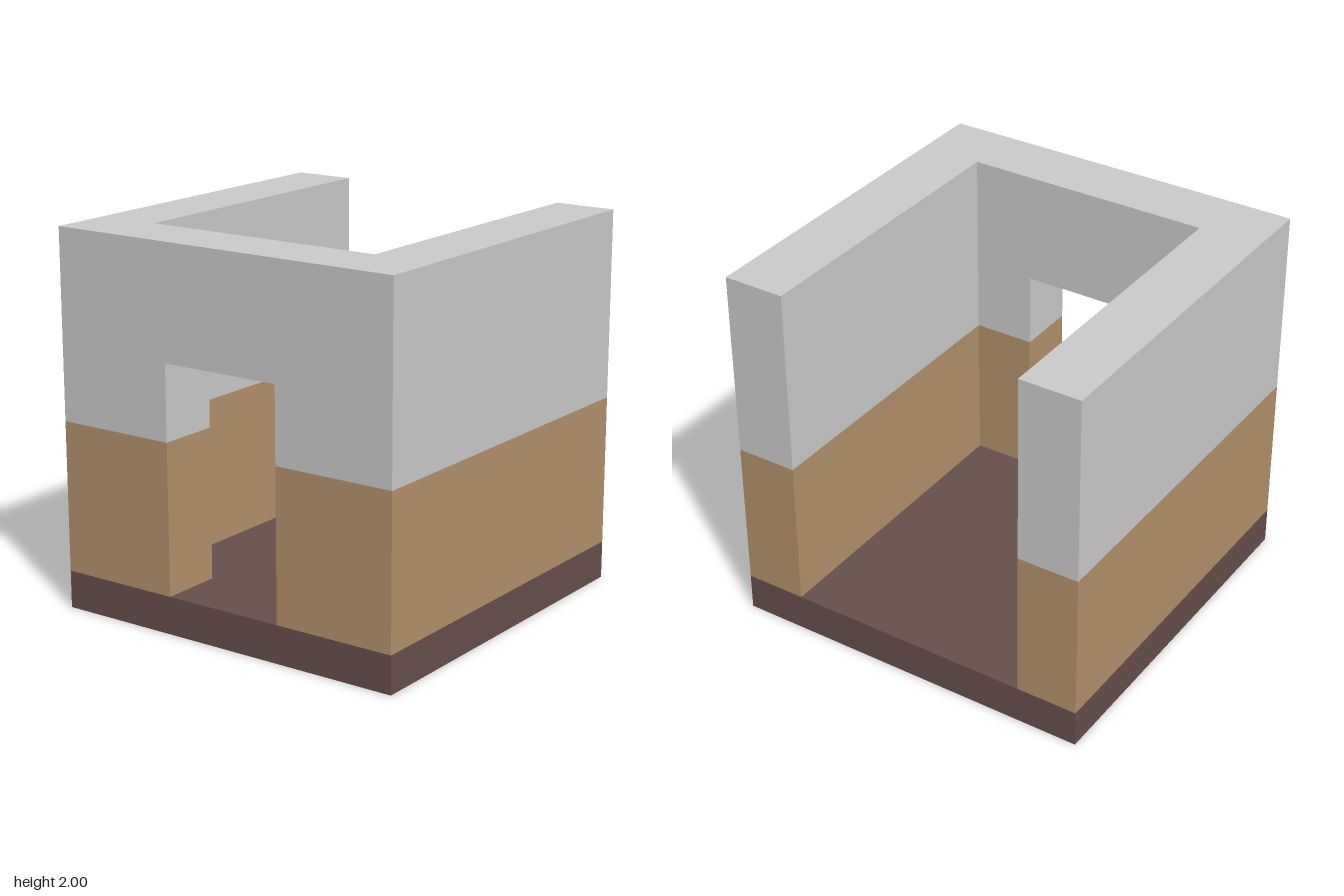
import * as THREE from 'three';

const T = 1 / 3;            // wall thickness, also half the doorway width
const FLOOR = 0.2, BAND = 1, DOOR = 1.4, TOP = 2;

export function createModel() {
  const model = new THREE.Group();
  const material = (color) => new THREE.MeshStandardMaterial({ color, flatShading: true });
  const floorMat = material(0x67504b);
  const lowerMat = material(0xb6926b);
  const upperMat = material(0xcccccc);

  const add = (name, geometry, mat) => {
    const mesh = new THREE.Mesh(geometry, mat);
    mesh.name = name;
    model.add(mesh);
  };
  // Box given by its lower and upper limits on each axis
  const box = (name, mat, [x0, x1], [y0, y1], [z0, z1]) => add(name,
    new THREE.BoxGeometry(x1 - x0, y1 - y0, z1 - z0)
      .translate((x0 + x1) / 2, (y0 + y1) / 2, (z0 + z1) / 2), mat);

  // Floor slab
  box('floor', floorMat, [-1, 1], [0, FLOOR], [-1, 1]);

  // Lower walls: an L-shaped plan on each side of the doorway, open at the back
  for (const s of [1, -1]) {
    const plan = [[T, -1], [1, -1], [1, 1], [1 - T, 1], [1 - T, T - 1], [T, T - 1]];
    const shape = new THREE.Shape(plan.map(([x, y]) => new THREE.Vector2(s * x, y)));
    const wall = new THREE.ExtrudeGeometry(shape, { depth: BAND - FLOOR, bevelEnabled: false });
    wall.rotateX(-Math.PI / 2).translate(0, FLOOR, 0);
    add(s > 0 ? 'leftLowerWall' : 'rightLowerWall', wall, lowerMat);

    // Upper side walls
    const xs = s > 0 ? [1 - T, 1] : [-1, T - 1];
    box(s > 0 ? 'leftUpperWall' : 'rightUpperWall', upperMat, xs, [BAND, TOP], [-1, 1 - T]);
  }

  // Upper front wall, notched by the top of the doorway
  const front = new THREE.Shape([
    [-1, BAND], [-T, BAND], [-T, DOOR], [T, DOOR], [T, BAND], [1, BAND], [1, TOP], [-1, TOP],
  ].map(([x, y]) => new THREE.Vector2(x, y)));
  add('frontUpperWall', new THREE.ExtrudeGeometry(front, { depth: T, bevelEnabled: false })
    .translate(0, 0, 1 - T), upperMat);

  return model;
}
